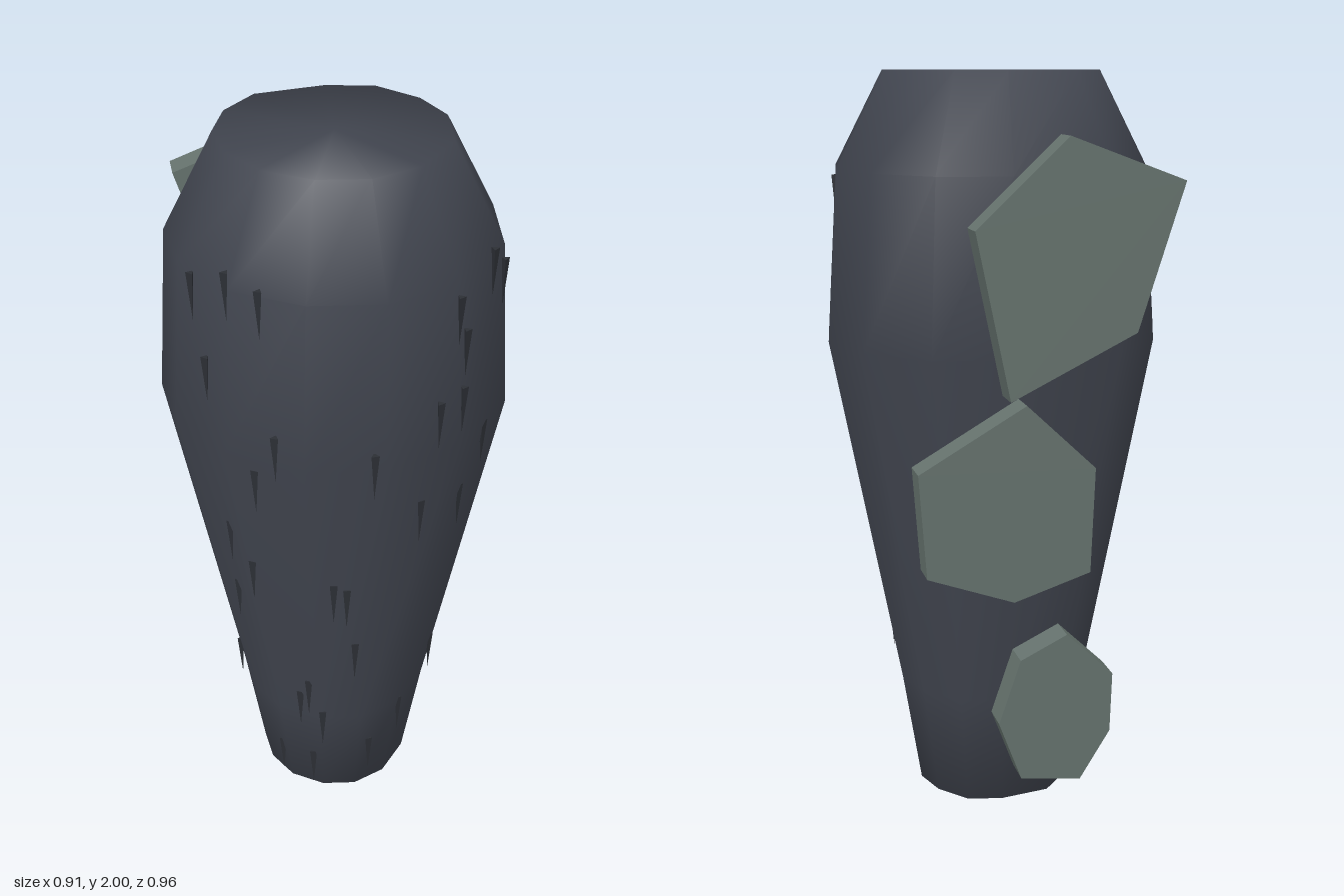
import * as THREE from 'three';

const bodyMat = new THREE.MeshStandardMaterial({ color: 0x40444e });
bodyMat.name = 'dark bark';
const plateMat = new THREE.MeshStandardMaterial({ color: 0x65726d, flatShading: true });
plateMat.name = 'grey green';
const spikeMat = new THREE.MeshStandardMaterial({ color: 0x2c2f35, flatShading: true });
spikeMat.name = 'dark splinter';

// Widest outline of the trunk (x, z), from +x round towards +z
const outline = [
  [0.455, -0.04], [0.42, 0.2], [0.25, 0.39], [0.05, 0.465], [-0.15, 0.44], [-0.33, 0.33], [-0.435, 0.16],
  [-0.455, -0.04], [-0.39, -0.22], [-0.25, -0.365], [0.045, -0.41], [0.245, -0.37], [0.39, -0.22],
];
// Trunk rings: y, x scale, z scale, z centre
const rings = [
  [0, 0.47, 0.51, 0.015],
  [0.32, 0.585, 0.625, 0.016],
  [1.3, 1, 1, 0.025],
  [1.75, 0.93, 0.966, 0.027],
  [2, 0.64, 0.695, 0.017],
];

// Smooth closed trunk lofted through the rings
function trunkGeometry() {
  const n = outline.length;
  const pos = [];
  const index = [];
  for (const [y, kx, kz, cz] of rings) {
    for (const [x, z] of outline) pos.push(x * kx, y, (z - 0.025) * kz + cz);
  }
  const bottom = pos.length / 3;
  pos.push(0, 0, 0.015, 0, 2, 0.017);
  const last = (rings.length - 1) * n;
  for (let i = 0; i < n; i++) {
    const k = (i + 1) % n;
    for (let j = 0; j < last; j += n) {
      index.push(j + i, j + n + i, j + k, j + k, j + n + i, j + n + k);
    }
    index.push(bottom, i, k, bottom + 1, last + k, last + i);
  }
  const g = new THREE.BufferGeometry();
  g.setAttribute('position', new THREE.Float32BufferAttribute(pos, 3));
  g.setIndex(index);
  g.computeVertexNormals();
  return g;
}

// Depth of the trunk's front surface at (x, y)
function frontZ(x, y) {
  let j = 0;
  while (j < rings.length - 2 && y > rings[j + 1][0]) j++;
  const t = (y - rings[j][0]) / (rings[j + 1][0] - rings[j][0]);
  const [, kx, kz, cz] = rings[j].map((v, i) => THREE.MathUtils.lerp(v, rings[j + 1][i], t));
  const u = x / kx;
  for (let i = 0; i < 7; i++) {
    const [x0, z0] = outline[i], [x1, z1] = outline[i + 1];
    if (u <= x0 && u >= x1) return (z0 + (z1 - z0) * (u - x0) / (x1 - x0) - 0.025) * kz + cz;
  }
  return cz;
}

// Polygonal plates on the back (x, y)
const plates = {
  upperPlate: [[-0.074, 1.85], [0.16, 1.63], [0.071, 1.21], [-0.253, 1.37], [-0.37, 1.74]],
  middlePlate: [[0.305, 1.04], [0.03, 1.2], [-0.15, 1.03], [-0.14, 0.755], [0.06, 0.69], [0.285, 0.77]],
  lowerPlate: [[0.1, 0.36], [0.043, 0.53], [-0.08, 0.59], [-0.205, 0.47], [-0.2, 0.31], [-0.12, 0.18], [0.04, 0.2]],
};

// Splinters on the front (x, top y)
const splinters = [
  [-0.38, 1.75], [-0.36, 1.55], [-0.215, 1.39], [-0.26, 1.27], [-0.315, 1.04], [-0.265, 0.93], [-0.065, 0.89],
  [-0.03, 0.87], [-0.295, 0.8], [0, 0.65], [-0.28, 0.44], [-0.12, 0.48], [-0.14, 0.42], [-0.08, 0.35],
  [-0.18, 0.15], [-0.1, 0.15], [0.15, 0.33], [0.06, 0.2], [0.26, 0.48], [0.155, 1.15], [0.28, 1.12],
  [0.02, 1.35], [0.19, 1.45], [0.255, 1.47], [0.235, 1.72], [0.26, 1.62], [0.35, 1.77], [0.34, 1.3],
  [0.39, 1.72], [-0.31, 1.8], [-0.24, 1.77],
];

export function createModel() {
  const model = new THREE.Group();
  const add = (name, geometry, material, parent = model) => {
    const mesh = new THREE.Mesh(geometry, material);
    mesh.name = name;
    parent.add(mesh);
    return mesh;
  };

  add('trunk', trunkGeometry(), bodyMat);

  for (const [name, points] of Object.entries(plates)) {
    const shape = new THREE.Shape(points.map(([x, y]) => new THREE.Vector2(x, y)));
    const plate = add(name, new THREE.ExtrudeGeometry(shape, { depth: 0.083, bevelEnabled: false }), plateMat);
    plate.position.z = -0.483;
  }

  // Thin three-sided spikes, broad end up
  const group = new THREE.Group();
  group.name = 'splinters';
  model.add(group);
  const spike = new THREE.ConeGeometry(0.012, 0.13, 3).rotateX(Math.PI);
  for (const [x, top] of splinters) {
    const y = top - 0.065;
    const mesh = add('splinter', spike, spikeMat, group);
    mesh.position.set(x, y, frontZ(x, y) + 0.008);
    mesh.rotation.y = x * 2;
  }
  return model;
}
